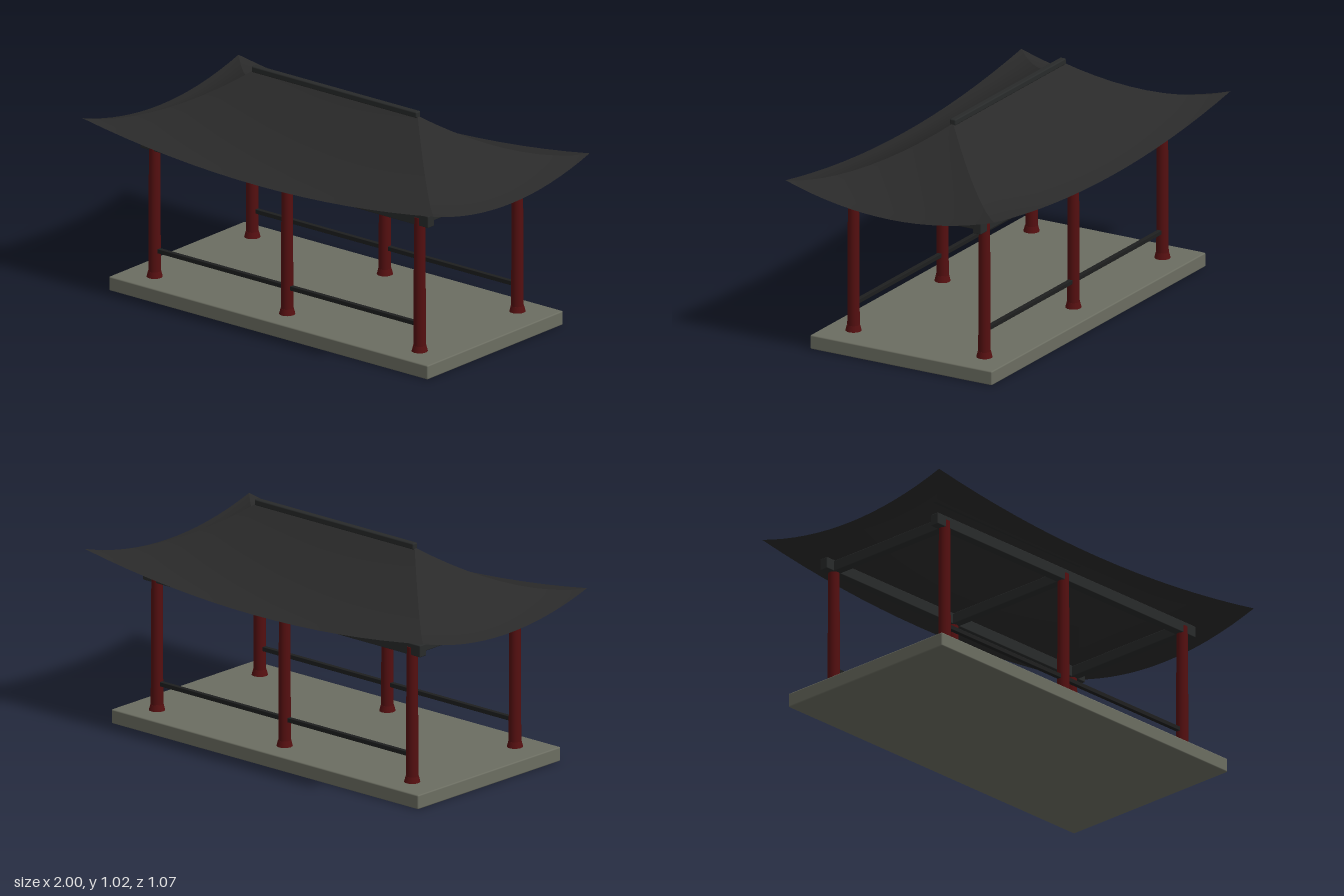
import * as THREE from 'three';
import { RoundedBoxGeometry } from 'three/addons/geometries/RoundedBoxGeometry.js';

const mat = (name, color, side = THREE.FrontSide) => {
  const m = new THREE.MeshStandardMaterial({ color, side });
  m.name = name;
  return m;
};

export function createModel() {
  const pavilion = new THREE.Group();
  pavilion.name = 'pavilion';

  const stone = mat('grey stone', 0x6b6d61);
  const red = mat('dark red lacquer', 0x540f10);
  const tile = mat('charcoal roof tile', 0x2a2a2a, THREE.DoubleSide);
  const timber = mat('dark timber', 0x282a2a);
  const railWood = mat('black rail wood', 0x1e1f1f);

  const add = (name, geometry, material, x = 0, y = 0, z = 0) => {
    const mesh = new THREE.Mesh(geometry, material);
    mesh.name = name;
    mesh.position.set(x, y, z);
    pavilion.add(mesh);
    return mesh;
  };
  const block = (w, h, d, r = 0.004) => new RoundedBoxGeometry(w, h, d, 2, r);

  // Stone platform
  add('platform', block(1.816, 0.065, 0.93, 0.006), stone, 0, 0.0325, 0);

  // Columns with flared feet
  const columnX = [-0.755, 0, 0.755];
  const columnZ = 0.335;
  const shaft = new THREE.CylinderGeometry(0.025, 0.028, 0.625, 16);
  const foot = new THREE.CylinderGeometry(0.029, 0.036, 0.027, 16);
  for (const x of columnX) {
    for (const side of [1, -1]) {
      add('column', shaft, red, x, 0.3775, side * columnZ);
      add('columnFoot', foot, red, x, 0.0785, side * columnZ);
    }
    // Beam across the width
    add('crossBeam', block(0.04, 0.05, 0.67), timber, x, 0.68, 0);
  }

  // Long beams and low rails along front and back
  for (const side of [1, -1]) {
    add('longBeam', block(1.64, 0.054, 0.042), timber, 0, 0.682, side * columnZ);
    add('rail', block(1.51, 0.02, 0.02, 0.002), railWood, 0, 0.19, side * columnZ);
  }

  // Sagging roof slope: t runs from ridge to eave, s from corner to corner
  const ridgeHalf = 0.465, run = 0.535;
  const slope = (topHalf) => {
    const g = new THREE.PlaneGeometry(2, 1, 16, 10);
    const p = g.attributes.position;
    for (let i = 0; i < p.count; i++) {
      const s = p.getX(i);
      const t = Math.min(1, Math.max(0, 0.5 - p.getY(i)));
      const y = 0.715 + 0.285 * Math.pow(1 - t, 1.5) + 0.085 * s * s * t * t;
      p.setXYZ(i, s * (topHalf + run * t), y, run * t);
    }
    g.computeVertexNormals();
    return g;
  };
  const longSlope = slope(ridgeHalf);
  const endSlope = slope(0);
  add('frontRoof', longSlope, tile);
  add('backRoof', longSlope, tile).rotation.y = Math.PI;
  for (const side of [1, -1]) {
    add('endRoof', endSlope, tile, side * ridgeHalf).rotation.y = side * Math.PI / 2;
  }

  // Ridge cap
  add('ridge', block(0.94, 0.028, 0.03, 0.006), timber, 0, 1.006, 0);

  return pavilion;
}
